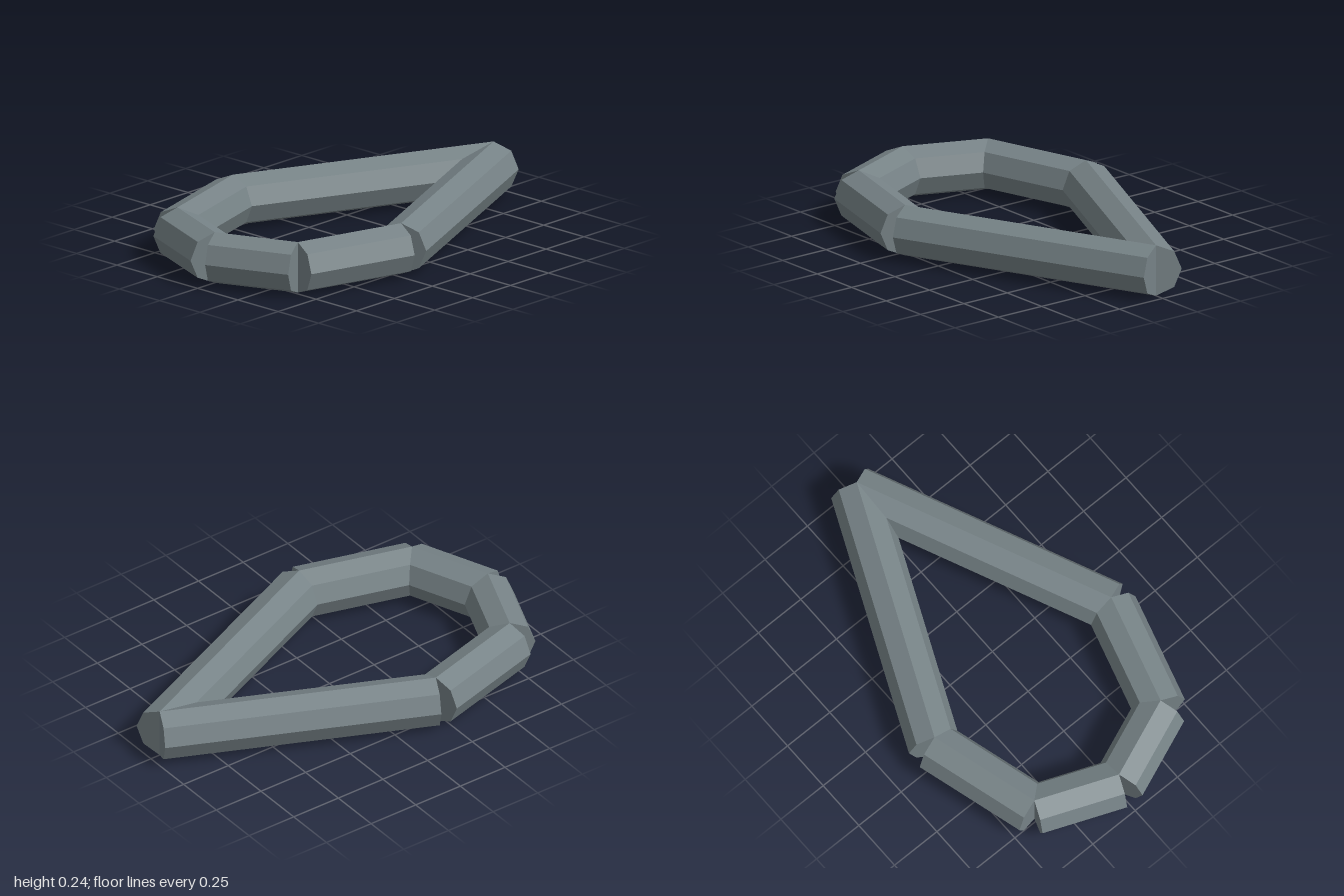
import * as THREE from 'three';

const RADIUS = 0.12;

export function createModel() {
  const group = new THREE.Group();
  group.name = 'teardropLink';
  const metal = new THREE.MeshStandardMaterial({ color: 0x768286 });
  metal.name = 'grey metal';
  metal.flatShading = true;

  // Octagonal bar between two [x, z] joints, with a ridge running along its top
  function addBar(name, [x1, z1], [x2, z2]) {
    const length = Math.hypot(x2 - x1, z2 - z1);
    const geometry = new THREE.CylinderGeometry(RADIUS, RADIUS, length, 8);
    geometry.rotateX(Math.PI / 2);
    geometry.rotateY(Math.atan2(x2 - x1, z2 - z1));
    const bar = new THREE.Mesh(geometry, metal);
    bar.name = name;
    bar.position.set((x1 + x2) / 2, RADIUS, (z1 + z2) / 2);
    group.add(bar);
  }

  // Joints of the left half, from the rear tip to the front middle
  const joints = [[0, -0.951], [0.522, 0.213], [0.373, 0.736], [0, 0.887]];
  const names = ['LongBar', 'SideBar', 'FrontBar'];

  for (const [side, s] of [['left', 1], ['right', -1]]) {
    names.forEach((name, i) => {
      const [a, b] = [joints[i], joints[i + 1]];
      addBar(side + name, [s * a[0], a[1]], [s * b[0], b[1]]);
    });
  }
  return group;
}
